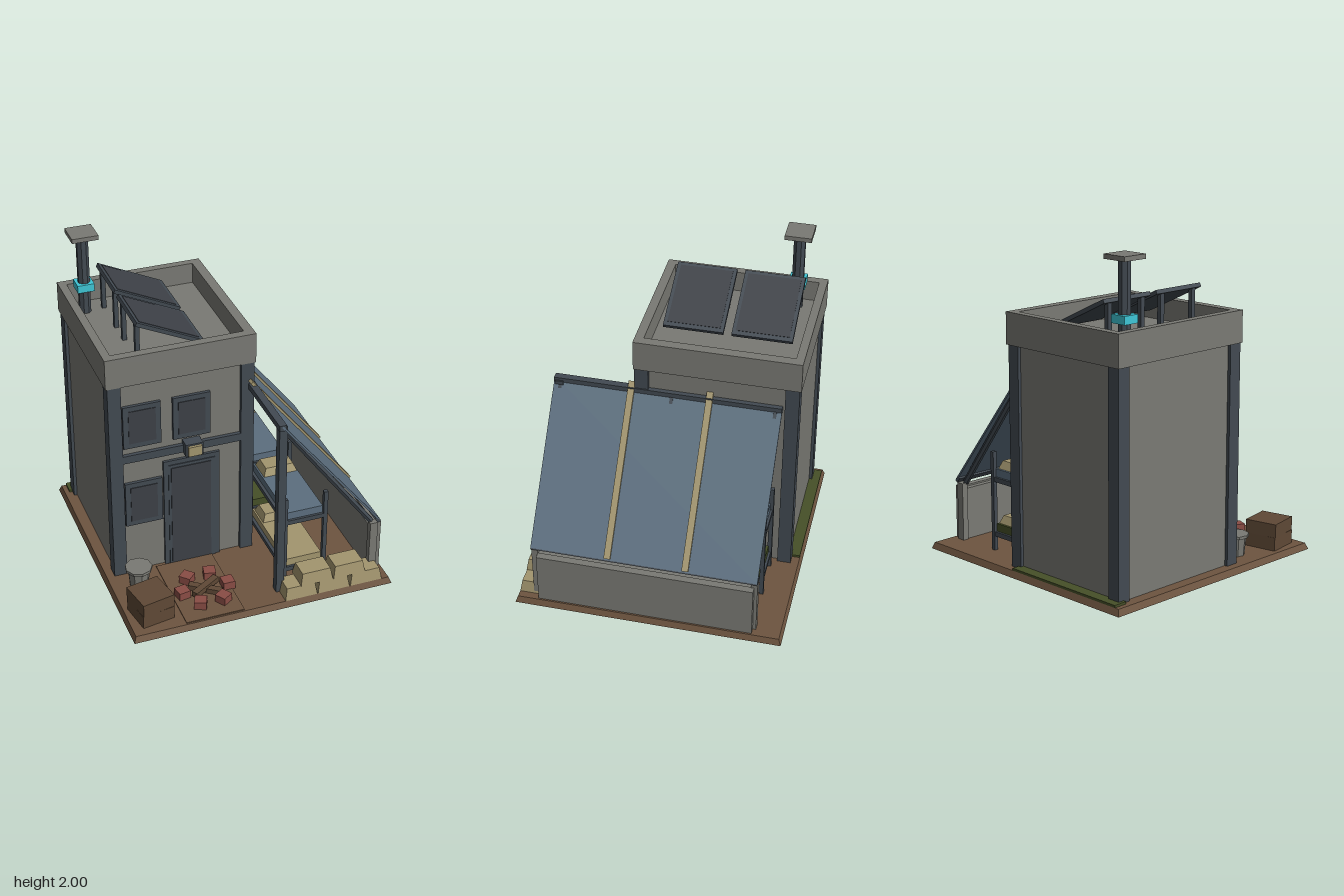
import * as THREE from 'three';

const mat = (name, color) => {
  const m = new THREE.MeshStandardMaterial({ color, flatShading: true });
  m.name = name;
  return m;
};

export function createModel() {
  const concrete = mat('concrete', 0x7a7a74);
  const steel = mat('steel', 0x424a52);
  const pane = mat('darkPane', 0x3d4147);
  const glass = mat('blueGlass', 0x5c6f7f);
  const earth = mat('earth', 0x6e5540);
  const wood = mat('wood', 0x5f4936);
  const canvas = mat('canvas', 0xa3966f);
  const brick = mat('brick', 0x8a4d45);
  const moss = mat('moss', 0x465028);
  const cyan = mat('cyan', 0x3fc6d6);

  const model = new THREE.Group();
  const add = (name, geo, m, parent = model) => {
    const mesh = new THREE.Mesh(geo, m);
    mesh.name = name;
    parent.add(mesh);
    return mesh;
  };
  // Box given by its limits on each axis
  const box = (name, m, x0, x1, y0, y1, z0, z1, parent) => {
    const b = add(name, new THREE.BoxGeometry(x1 - x0, y1 - y0, z1 - z0), m, parent);
    b.position.set((x0 + x1) / 2, (y0 + y1) / 2, (z0 + z1) / 2);
    return b;
  };
  // Box whose top is narrower than its bottom, standing on y
  const tapered = (name, m, x, y, z, w, h, d, inset) => {
    const geo = new THREE.BoxGeometry(w, h, d);
    const p = geo.attributes.position;
    for (let i = 0; i < p.count; i++) {
      if (p.getY(i) > 0) {
        p.setX(i, p.getX(i) - Math.sign(p.getX(i)) * inset);
        p.setZ(i, p.getZ(i) - Math.sign(p.getZ(i)) * inset);
      }
    }
    geo.computeVertexNormals();
    const b = add(name, geo, m);
    b.position.set(x, y + h / 2, z);
    return b;
  };
  // Box lying along a slope in the xy plane
  const sloped = (name, m, xa, ya, xb, yb, thick, z0, z1) => {
    const b = add(name, new THREE.BoxGeometry(Math.hypot(xb - xa, yb - ya), thick, z1 - z0), m);
    b.position.set((xa + xb) / 2, (ya + yb) / 2, (z0 + z1) / 2);
    b.rotation.z = Math.atan2(yb - ya, xb - xa);
    return b;
  };

  // Ground slab and moss strip
  tapered('ground', earth, 0, 0, 0, 1.67, 0.04, 1.67, 0.015);
  box('mossStrip', moss, -0.79, 0.08, 0.04, 0.055, -0.82, -0.73);
  box('path', earth, -0.5, -0.13, 0.04, 0.046, 0.23, 0.81);

  // Tower walls, corner columns, roof and parapet
  box('towerWalls', concrete, -0.75, 0.12, 0.04, 1.42, -0.75, 0.205);
  for (const x of [-0.77, 0.06])
    for (const z of [-0.77, 0.145]) box('cornerColumn', steel, x, x + 0.082, 0.04, 1.4, z, z + 0.085);
  box('roofDeck', concrete, -0.74, 0.1, 1.4, 1.46, -0.74, 0.19);
  const outline = new THREE.Shape([[-0.78, 0.78], [-0.78, -0.235], [0.15, -0.235], [0.15, 0.78]]
    .map(([x, y]) => new THREE.Vector2(x, y)));
  outline.holes.push(new THREE.Path([[-0.73, 0.73], [0.09, 0.73], [0.09, -0.18], [-0.73, -0.18]]
    .map(([x, y]) => new THREE.Vector2(x, y))));
  const parapet = add('parapet', new THREE.ExtrudeGeometry(outline, { depth: 0.195, bevelEnabled: false }), concrete);
  parapet.rotation.x = -Math.PI / 2;
  parapet.position.y = 1.4;

  // Front windows: frame and recessed-looking pane
  for (const [x, y, h] of [[-0.68, 0.96, 0.29], [-0.37, 0.96, 0.29], [-0.68, 0.395, 0.31]]) {
    box('windowFrame', steel, x, x + 0.235, y, y + h, 0.2, 0.225);
    box('windowPane', pane, x + 0.033, x + 0.202, y + 0.033, y + h - 0.033, 0.225, 0.229);
  }
  // Window on the side wall
  box('sideWindowFrame', steel, 0.11, 0.135, 0.4, 1.07, -0.52, -0.11);
  box('sideWindowPane', pane, 0.135, 0.139, 0.44, 1.03, -0.48, -0.15);

  // Door, cross beam and lamp
  box('doorFrame', steel, -0.435, -0.075, 0.04, 0.81, 0.2, 0.222);
  box('doorInset', steel, -0.405, -0.105, 0.04, 0.78, 0.222, 0.228);
  box('doorPanel', pane, -0.39, -0.135, 0.05, 0.76, 0.228, 0.233);
  box('crossBeam', steel, -0.69, 0.06, 0.86, 0.912, 0.2, 0.23);
  box('lampHousing', steel, -0.31, -0.2, 0.855, 0.94, 0.2, 0.28);
  box('lampFace', canvas, -0.298, -0.212, 0.865, 0.93, 0.28, 0.298);

  // Solar panels on legs
  for (const z of [-0.67, -0.25]) {
    sloped('solarFrame', steel, -0.55, 1.73, -0.14, 1.535, 0.025, z, z + 0.37);
    sloped('solarCells', pane, -0.525, 1.732, -0.16, 1.558, 0.006, z + 0.022, z + 0.348);
    for (const dz of [0.04, 0.3]) box('solarLeg', steel, -0.545, -0.518, 1.45, 1.72, z + dz, z + dz + 0.03);
  }

  // Chimney
  const flue = add('chimneyFlue', new THREE.CylinderGeometry(0.038, 0.038, 0.52, 8), steel);
  flue.position.set(-0.653, 1.71, -0.608);
  flue.rotation.y = Math.PI / 8;
  box('chimneyCap', concrete, -0.735, -0.57, 1.972, 2, -0.69, -0.525);
  box('chimneyBand', cyan, -0.706, -0.6, 1.615, 1.665, -0.66, -0.556);

  // Lean-to: glass slope, rails, straps and rafters
  sloped('glassSlope', glass, 0.125, 1.25, 0.78, 0.425, 0.012, -0.67, 0.73);
  box('topRail', steel, 0.105, 0.15, 1.22, 1.258, -0.67, 0.73);
  sloped('bottomRail', steel, 0.755, 0.445, 0.78, 0.414, 0.022, -0.67, 0.73);
  for (const z of [0.25, -0.23])
    sloped('glassStrap', canvas, 0.112, 1.283, 0.782, 0.436, 0.02, z - 0.02, z + 0.02);
  for (const z of [0.69, 0, -0.63]) {
    const a = new THREE.Vector3(0.125, 1.235, z), b = new THREE.Vector3(0.735, 0.41, z);
    const d = b.clone().sub(a);
    const r = add('rafter', new THREE.CylinderGeometry(0.02, 0.02, d.length(), 6), steel);
    r.position.copy(a).add(b).multiplyScalar(0.5);
    r.quaternion.setFromUnitVectors(new THREE.Vector3(0, 1, 0), d.normalize());
  }
  box('leanToPost', steel, 0.11, 0.16, 0.04, 1.24, 0.67, 0.72);

  // Low wall under the slope
  box('lowWall', concrete, 0.765, 0.81, 0.04, 0.38, -0.65, 0.69);
  for (const z of [-0.67, 0.69]) box('wallPost', concrete, 0.72, 0.77, 0.04, 0.41, z, z + 0.04);
  box('wallCore', concrete, 0.73, 0.77, 0.04, 0.37, -0.64, 0.7);

  // Two bunk beds
  for (const [z0, z1, lower] of [[0.06, 0.66, canvas], [-0.655, 0.01, moss]]) {
    const bunk = new THREE.Group();
    bunk.name = 'bunkBed';
    model.add(bunk);
    for (const x of [0.175, 0.435])
      for (const z of [z0, z1 - 0.026]) box('bunkPost', steel, x, x + 0.026, 0.04, 0.67, z, z + 0.026, bunk);
    for (const [y, m] of [[0.13, lower], [0.48, glass]]) {
      box('bunkBase', steel, 0.18, 0.455, y, y + 0.03, z0 + 0.005, z1 - 0.005, bunk);
      box('mattress', m, 0.2, 0.435, y + 0.03, y + 0.08, z0 + 0.02, z1 - 0.02, bunk);
      tapered('pillow', canvas, 0.32, y + 0.08, z0 + 0.11, 0.22, 0.05, 0.15, 0.02);
    }
  }

  // Sandbag pile
  for (const [row, xs] of [[0, [0.238, 0.452, 0.668]], [1, [0.342, 0.557]]])
    for (const x of xs) tapered('sandbag', canvas, x, 0.04 + row * 0.078, 0.745 - row * 0.01, 0.21, 0.08, 0.15, 0.014);

  // Stacked crates
  [[0.04, 0.21, 0.17], [0.125, 0.21, 0.2]].forEach(([y, s, a]) => {
    const crate = add('crate', new THREE.BoxGeometry(s, 0.085, s), wood);
    crate.position.set(-0.67, y + 0.0425, 0.645);
    crate.rotation.y = a;
  });

  // Barrel with lid
  const barrel = add('barrel', new THREE.CylinderGeometry(0.07, 0.06, 0.12, 9), concrete);
  barrel.position.set(-0.65, 0.1, 0.35);
  const lid = add('barrelLid', new THREE.CylinderGeometry(0.085, 0.085, 0.018, 9), concrete);
  lid.position.set(-0.65, 0.165, 0.35);

  // Fire ring and logs
  for (let i = 0; i < 6; i++) {
    const a = (i * Math.PI) / 3;
    const b = add('fireBrick', new THREE.BoxGeometry(0.075, 0.055, 0.075), brick);
    b.position.set(-0.295 + Math.cos(a) * 0.146, 0.07, 0.563 + Math.sin(a) * 0.146);
    b.rotation.y = -a + i * 0.06;
  }
  for (const [a, y] of [[-0.63, 0.062], [0.55, 0.08]]) {
    const log = add('log', new THREE.BoxGeometry(0.21, 0.035, 0.042), wood);
    log.position.set(-0.293, y, 0.563);
    log.rotation.y = a;
  }
  return model;
}
